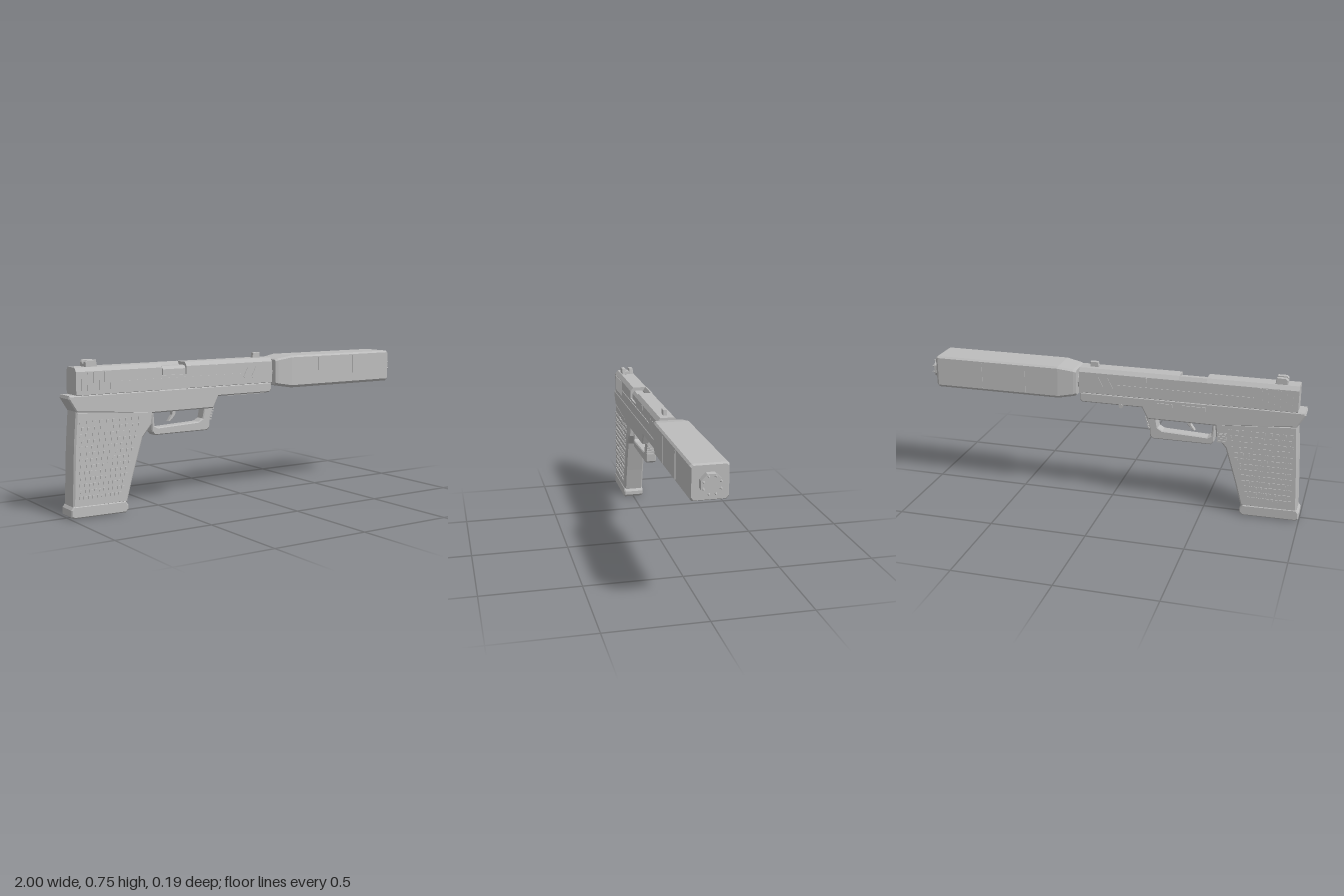
import * as THREE from 'three';
import { mergeGeometries } from 'three/addons/utils/BufferGeometryUtils.js';

const grey = new THREE.MeshStandardMaterial({ color: 0xbcbcbc });
grey.name = 'plain grey';
grey.flatShading = true;

// Extrude a side outline (x, y) through z, with a small chamfer kept inside the outline
function sideProfile(points, halfWidth, bevel = 0.006, hole = null, zMid = 0) {
  const shape = new THREE.Shape(points.map(p => new THREE.Vector2(...p)));
  if (hole) shape.holes.push(new THREE.Path(hole.map(p => new THREE.Vector2(...p))));
  const depth = 2 * (halfWidth - bevel);
  const g = new THREE.ExtrudeGeometry(shape, {
    depth, bevelEnabled: bevel > 0, bevelThickness: bevel, bevelSize: bevel, bevelOffset: -bevel, bevelSegments: 1,
  });
  return g.translate(0, 0, zMid - depth / 2);
}

// Skin convex cross-sections [x, [[z, y], ...]] along x and cap both ends
function loft(sections) {
  const v = [];
  const at = (s, k) => [s[0], s[1][k % s[1].length][1], s[1][k % s[1].length][0]];
  const n = sections[0][1].length;
  for (let i = 0; i + 1 < sections.length; i++) {
    const s = sections[i], t = sections[i + 1];
    for (let k = 0; k < n; k++) {
      const a = at(s, k), b = at(s, k + 1), c = at(t, k + 1), d = at(t, k);
      v.push(...a, ...b, ...c, ...a, ...c, ...d);
    }
  }
  const first = sections[0], last = sections[sections.length - 1];
  for (let k = 1; k + 1 < n; k++) {
    v.push(...at(first, 0), ...at(first, k + 1), ...at(first, k));
    v.push(...at(last, 0), ...at(last, k), ...at(last, k + 1));
  }
  const g = new THREE.BufferGeometry();
  g.setAttribute('position', new THREE.Float32BufferAttribute(v, 3));
  g.computeVertexNormals();
  return g;
}

// Rectangle with separate top and bottom chamfers [across, down]
function section(z0, z1, y0, y1, top, low) {
  return [[z0 + low[0], y0], [z0, y0 + low[1]], [z0, y1 - top[1]], [z0 + top[0], y1],
    [z1 - top[0], y1], [z1, y1 - top[1]], [z1, y0 + low[1]], [z1 - low[0], y0]];
}

// Box given by its limits, optionally turned about z
function box(x0, x1, y0, y1, z0, z1, turn = 0) {
  return new THREE.BoxGeometry(x1 - x0, y1 - y0, z1 - z0).rotateZ(turn)
    .translate((x0 + x1) / 2, (y0 + y1) / 2, (z0 + z1) / 2);
}

export function createModel() {
  const model = new THREE.Group();
  // Merge the pieces of one part, first giving them the same attributes
  const add = (name, ...geos) => {
    const plain = geos.map(g => (g.index ? g.toNonIndexed() : g).deleteAttribute('uv'));
    const mesh = new THREE.Mesh(mergeGeometries(plain), grey);
    mesh.name = name;
    model.add(mesh);
  };

  // Frame with rear overhang and dust cover
  add('frame', sideProfile([[-0.995, 0.59], [-1, 0.575], [-0.96, 0.51], [-0.56, 0.478], [-0.2, 0.478],
    [-0.17, 0.537], [0.15, 0.537], [0.163, 0.55], [0.163, 0.59]], 0.054));
  add('accessoryRail', box(-0.1, 0.13, 0.532, 0.545, -0.03, 0.03));
  add('framePin', new THREE.CylinderGeometry(0.012, 0.012, 0.03, 8).rotateX(Math.PI / 2).translate(-0.06, 0.535, -0.042));

  // Grip and base
  add('grip', sideProfile([[-0.962, 0.515], [-0.975, 0.35], [-0.988, 0.05], [-0.7, 0.05], [-0.665, 0.18],
    [-0.61, 0.36], [-0.56, 0.42], [-0.55, 0.49]], 0.053, 0.008));
  add('gripBase', sideProfile([[-0.985, 0.063], [-0.998, 0.045], [-0.998, 0.012], [-0.985, 0.003],
    [-0.71, 0], [-0.695, 0.015], [-0.695, 0.035], [-0.71, 0.058]], 0.056, 0.006));

  // Raised studs on both grip faces, rows narrowing towards the base
  const studs = [];
  const rows = 13, columns = 10;
  for (let r = 0; r < rows; r++) {
    const t = r / (rows - 1), y = 0.1 + 0.36 * t;
    const back = -0.95 + 0.01 * t, front = -0.735 + 0.115 * t;
    for (let c = 0; c < columns; c++) {
      const x = back + (front - back) * (c + (r % 2) * 0.25) / (columns - 0.75);
      for (const s of [-1, 1]) studs.push(box(x - 0.008, x + 0.008, y - 0.007, y + 0.007, s * 0.0545 - 0.003, s * 0.0545 + 0.003));
    }
  }
  add('gripStuds', ...studs);

  // Guard, front ribs and trigger
  add('triggerGuard', sideProfile([[-0.55, 0.485], [-0.545, 0.38], [-0.53, 0.363], [-0.225, 0.363], [-0.21, 0.375],
    [-0.205, 0.43], [-0.185, 0.485]], 0.029, 0.005, [[-0.535, 0.475], [-0.24, 0.475], [-0.25, 0.425], [-0.275, 0.41], [-0.51, 0.4], [-0.53, 0.41]]));
  const ribs = [];
  for (let i = 0; i < 5; i++) {
    const y = 0.415 + i * 0.0135, x = -0.206 + i * 0.004;
    ribs.push(box(x - 0.01, x + 0.008, y, y + 0.008, -0.027, 0.027));
  }
  add('guardRibs', ...ribs);
  add('trigger', sideProfile([[-0.425, 0.49], [-0.42, 0.455], [-0.442, 0.424], [-0.43, 0.424], [-0.403, 0.452], [-0.395, 0.49]], 0.012, 0.002));

  // Release button and levers on the far side
  const button = [box(-0.615, -0.565, 0.392, 0.442, -0.058, -0.045)];
  for (let i = 0; i < 4; i++) button.push(box(-0.61, -0.57, 0.395 + i * 0.012, 0.402 + i * 0.012, -0.062, -0.055));
  add('releaseButton', ...button);
  add('levers', box(-0.5, -0.38, 0.545, 0.57, -0.059, -0.05), box(-0.33, -0.25, 0.545, 0.57, -0.059, -0.05));

  // Slide: rear and front blocks joined beside the open port
  const slide = (x0, x1) => {
    const s = section(-0.053, 0.053, 0.588, 0.72, [0.016, 0.02], [0.002, 0.002]);
    return loft([[x0, s], [x1, s]]);
  };
  const wall = section(-0.053, -0.02, 0.65, 0.72, [0.012, 0.02], [0.002, 0.002]);
  add('slide', slide(-0.96, -0.5), slide(-0.36, 0.165),
    box(-0.5, -0.36, 0.588, 0.66, -0.053, 0.053), loft([[-0.5, wall], [-0.36, wall]]));
  const block = section(-0.022, 0.044, 0.65, 0.704, [0.012, 0.015], [0.002, 0.002]);
  add('portBlock', loft([[-0.49, block], [-0.358, block]]));

  // Slide markings, mirrored on both sides
  const marks = [];
  for (const s of [-1, 1]) {
    const plate = (x0, x1, y0, y1, turn = 0) => marks.push(box(x0, x1, y0, y1, s * 0.053 - 0.003, s * 0.053 + 0.003, turn));
    for (let i = 0; i < 6; i++) plate(-0.932 + i * 0.03, -0.918 + i * 0.03, 0.61, 0.697);
    plate(-0.74, -0.03, 0.641, 0.647);
    for (const x of [0.0, 0.05]) plate(x - 0.004, x + 0.004, 0.62, 0.68, -0.5);
    plate(-0.195, -0.178, 0.672, 0.698);
  }
  add('slideMarks', ...marks);

  // Sights
  const post = [[-0.9, 0.715], [-0.9, 0.742], [-0.89, 0.752], [-0.845, 0.752], [-0.838, 0.715]];
  add('rearSight', sideProfile(post, 0.011, 0.002, null, 0.021), sideProfile(post, 0.011, 0.002, null, -0.021),
    sideProfile([[-0.9, 0.715], [-0.9, 0.735], [-0.84, 0.735], [-0.838, 0.715]], 0.015, 0));
  add('frontSight', sideProfile([[0.07, 0.715], [0.075, 0.747], [0.115, 0.747], [0.118, 0.715]], 0.01, 0.002));

  // Barrel stub and squared muzzle sleeve
  add('barrel', new THREE.CylinderGeometry(0.045, 0.045, 0.06, 12).rotateZ(Math.PI / 2).translate(0.17, 0.642, 0));
  const sleeve = inset => section(-0.09 + inset, 0.09 - inset, 0.557 + inset, 0.727 - inset, [0.009, 0.009], [0.011, 0.013]);
  add('muzzleSleeve', loft([[0.175, sleeve(0.018)], [0.19, sleeve(0.013)], [0.27, sleeve(0)], [0.94, sleeve(0)], [0.951, sleeve(0.006)]]));
  const seams = [];
  for (const x of [0.45, 0.69]) for (const s of [-1, 1]) {
    seams.push(box(x - 0.002, x + 0.002, 0.575, 0.712, s * 0.09 - 0.003, s * 0.09 + 0.003));
  }
  add('sleeveSeams', ...seams);

  // Eight-sided tip ringed with small teeth
  add('muzzleTip', new THREE.CylinderGeometry(0.053, 0.053, 0.035, 8)
    .rotateY(Math.PI / 8).rotateZ(-Math.PI / 2).translate(0.965, 0.64, 0));
  const teeth = [];
  for (let i = 0; i < 8; i++) {
    const a = (i + 0.5) * Math.PI / 4;
    teeth.push(new THREE.ConeGeometry(0.009, 0.022, 4).rotateZ(-Math.PI / 2)
      .translate(0.989, 0.64 + 0.043 * Math.sin(a), 0.043 * Math.cos(a)));
  }
  add('tipTeeth', ...teeth);

  return model;
}
